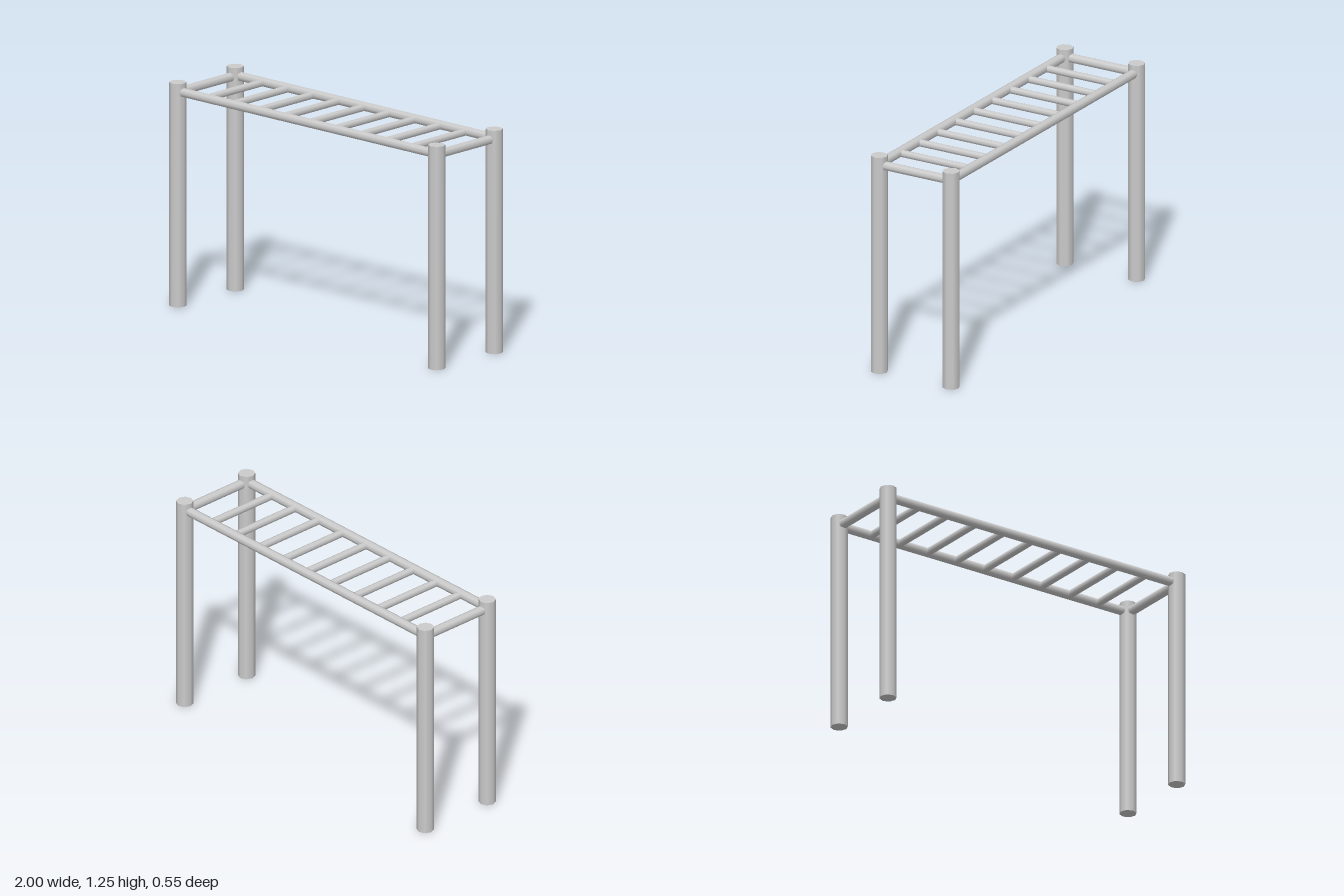
import * as THREE from 'three';

const SIDES = 8;
const HEIGHT = 1.245;
const BAR_Y = 1.191;
const POST_X = 0.953;
const POST_Z = 0.227;

export function createModel() {
  const model = new THREE.Group();
  model.name = 'monkeyBars';
  const material = new THREE.MeshStandardMaterial({ color: 0xcccccc });

  // Round pole centred on a point, running along the given axis
  function addPole(name, radius, length, axis, x, y, z) {
    const geometry = new THREE.CylinderGeometry(radius, radius, length, SIDES);
    if (axis === 'x') geometry.rotateZ(Math.PI / 2);
    if (axis === 'z') geometry.rotateX(Math.PI / 2);
    const mesh = new THREE.Mesh(geometry, material);
    mesh.name = name;
    mesh.position.set(x, y, z);
    model.add(mesh);
  }

  for (const side of [-1, 1]) {
    // Corner posts
    for (const end of [-1, 1]) {
      addPole('post', 0.047, HEIGHT, 'y', end * POST_X, HEIGHT / 2, side * POST_Z);
    }
    // Long side rails, and short end bars joining the posts
    addPole('sideRail', 0.026, POST_X * 2, 'x', 0, BAR_Y + 0.003, side * POST_Z);
    addPole('endBar', 0.026, POST_Z * 2, 'z', side * POST_X, BAR_Y, 0);
  }

  // Evenly spaced rungs between the rails
  for (let i = -4; i <= 4; i++) {
    addPole('rung', 0.021, POST_Z * 2, 'z', i * 0.187, BAR_Y, 0);
  }

  return model;
}
